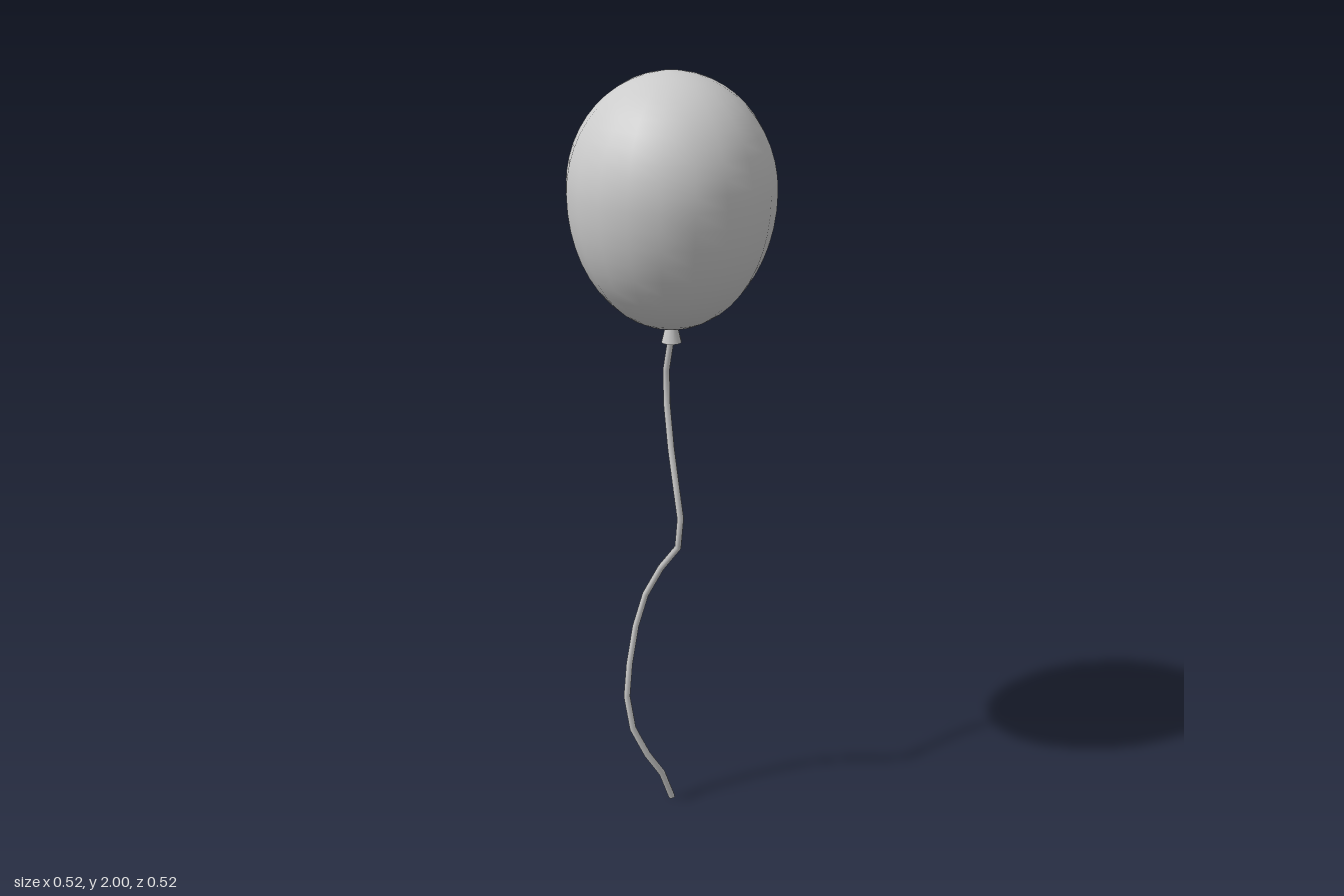
import * as THREE from 'three';

const SIDES = 20;

export function createModel() {
  const group = new THREE.Group();
  const material = new THREE.MeshStandardMaterial({ color: 0xcccccc });
  const add = (name, geometry, mat = material) => {
    const mesh = new THREE.Mesh(geometry, mat);
    mesh.name = name;
    group.add(mesh);
    return mesh;
  };

  // Balloon: two half ellipses meeting at the widest ring
  const radius = 0.262, waist = 1.71, above = 0.29, below = 0.352;
  const profile = [];
  const steps = 24;
  for (let i = 0; i <= steps; i++) {
    const a = -Math.PI / 2 + (Math.PI * i) / steps;
    const s = Math.sin(a);
    const r = i === 0 || i === steps ? 0 : radius * Math.cos(a);
    profile.push(new THREE.Vector2(r, waist + s * (s < 0 ? below : above)));
  }
  const balloon = add('balloon', new THREE.LatheGeometry(profile, SIDES));
  // Corner points sit on the x and z axes
  balloon.rotation.y = 0;

  // Flared neck under the balloon
  const neck = add('neck', new THREE.CylinderGeometry(0.014, 0.026, 0.05, 12));
  neck.position.y = 1.343;

  // String: wavy path from the neck to the ground
  const path = [
    [0, 1.335, 0], [-0.008, 1.235, -0.026], [-0.008, 1.145, -0.017],
    [-0.003, 1.035, 0.008], [0.004, 0.945, 0.032], [0.012, 0.855, 0.053],
    [0.008, 0.77, 0.042], [-0.03, 0.70, 0.006], [-0.068, 0.62, -0.011],
    [-0.095, 0.53, -0.011], [-0.115, 0.425, 0], [-0.125, 0.335, 0.012],
    [-0.111, 0.24, 0.021], [-0.073, 0.16, 0.026], [-0.031, 0.095, 0.023],
    [0, 0.008, 0.004],
  ].map((p) => new THREE.Vector3(...p));
  const curve = new THREE.CatmullRomCurve3(path);
  curve.getUtoTmapping = (u) => u; // one straight segment per path point
  const thickness = 0.009;
  add('string', new THREE.TubeGeometry(curve, path.length - 1, thickness, 8));

  // Cap closing the loose end
  const cap = add('stringEnd', new THREE.CircleGeometry(thickness, 8));
  cap.position.copy(path[path.length - 1]);
  cap.quaternion.setFromUnitVectors(new THREE.Vector3(0, 0, 1), curve.getTangent(1));

  return group;
}
